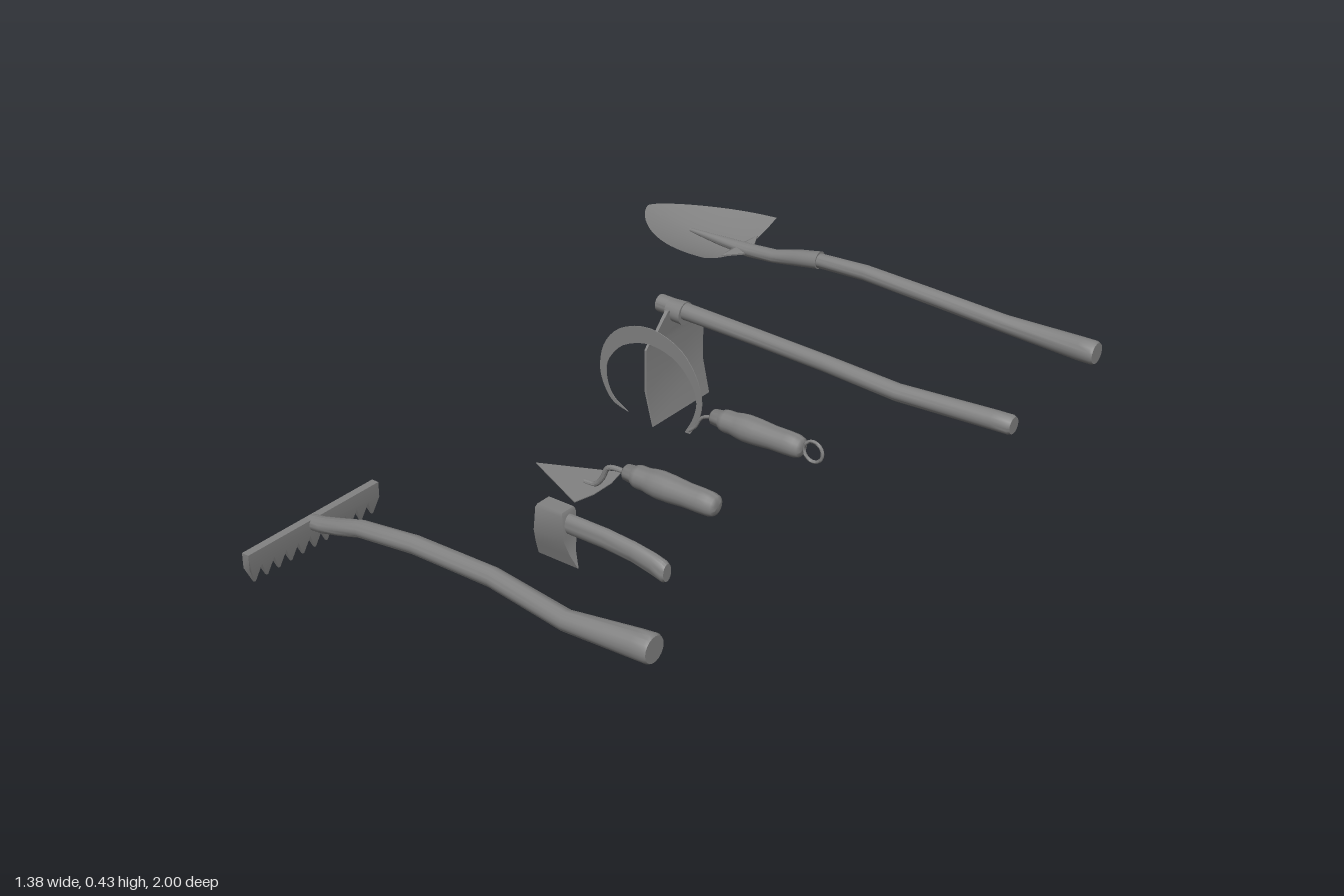
import * as THREE from 'three';
import { toCreasedNormals } from 'three/addons/utils/BufferGeometryUtils.js';

const material = new THREE.MeshStandardMaterial({ color: 0x828282, side: THREE.DoubleSide });

function add(group, name, geometry, crease = 0.6) {
  const mesh = new THREE.Mesh(toCreasedNormals(geometry, crease), material);
  mesh.name = name;
  group.add(mesh);
}

function tool(parent, name, z) {
  const group = new THREE.Group();
  group.name = name;
  group.position.z = z;
  parent.add(group);
  return group;
}

// Moves every vertex by a rule
function shapeBy(geometry, rule) {
  const p = geometry.attributes.position;
  const v = new THREE.Vector3();
  for (let i = 0; i < p.count; i++) {
    rule(v.fromBufferAttribute(p, i));
    p.setXYZ(i, v.x, v.y, v.z);
  }
  geometry.computeVertexNormals();
  return geometry;
}

// Round bar running along x through stations [x, y, z, radius]
function rod(stations, oval = 1) {
  const n = stations.length - 1;
  const g = new THREE.CylinderGeometry(1, 1, 1, 18, n).rotateZ(-Math.PI / 2);
  return shapeBy(g, (v) => {
    const [x, y, z, r] = stations[Math.round((v.x + 0.5) * n)];
    v.set(x, y + v.y * r * oval, z + v.z * r);
  });
}

// Box-section body rising through levels [y, xMin, xMax, halfDepth]
function levels(rows) {
  const n = rows.length - 1;
  return shapeBy(new THREE.BoxGeometry(1, 1, 2, 1, n, 1), (v) => {
    const [y, x0, x1, h] = rows[Math.round((v.y + 0.5) * n)];
    v.set(v.x < 0 ? x0 : x1, y, v.z * h);
  });
}

function tube(points, radius) {
  const curve = new THREE.CatmullRomCurve3(points.map(([x, y]) => new THREE.Vector3(x, y, 0)));
  return new THREE.TubeGeometry(curve, 20, radius, 10);
}

const vectors = (points) => points.map(([x, y]) => new THREE.Vector2(x, y));

function plate(points, depth) {
  return new THREE.ExtrudeGeometry(new THREE.Shape(points), { depth, bevelEnabled: false })
    .translate(0, 0, -depth / 2);
}

// Turned grip shared by the hand tools
function addGrip(group) {
  add(group, 'grip', rod([
    [0.135, 0.265, 0, 0.013], [0.14, 0.265, 0, 0.018], [0.16, 0.265, 0, 0.02],
    [0.166, 0.265, 0, 0.024], [0.175, 0.265, 0, 0.026], [0.195, 0.265, 0, 0.026],
    [0.21, 0.265, 0, 0.029], [0.23, 0.265, 0, 0.031], [0.26, 0.265, 0, 0.03],
    [0.3, 0.265, 0, 0.027], [0.335, 0.265, 0, 0.027], [0.36, 0.265, 0, 0.026],
    [0.372, 0.265, 0, 0.022], [0.377, 0.265, 0, 0.013]]), 0.9);
}

function addShovel(parent) {
  const g = tool(parent, 'shovel', -0.838);
  // Dished blade with a rounded point
  const blade = shapeBy(new THREE.PlaneGeometry(2, 1, 16, 20), (v) => {
    const s = Math.sin((v.y + 0.5) * Math.PI / 2);
    const z = -v.x * 0.163 * Math.pow(Math.max(0, 1 - Math.pow(s, 2.2)), 0.7);
    const lift = Math.pow(Math.abs(z) / 0.163, 1.8) * 0.038;
    v.set(-0.387 - 0.303 * s, 0.226 + 0.052 * s * s + lift * (1 - 0.4 * s), z);
  });
  add(g, 'blade', blade, 1);
  // Flared web between blade and socket
  const web = plate(vectors(
    [[-0.39, -0.08], [-0.36, -0.015], [-0.36, 0.015], [-0.39, 0.08], [-0.41, 0]]), 0.004);
  add(g, 'bladeWeb', shapeBy(web.rotateX(Math.PI / 2), (v) => { v.y += 0.228 + Math.abs(v.z) * 0.14; }));
  add(g, 'socket', rod([
    [-0.55, 0.243, 0, 0.005], [-0.45, 0.238, 0, 0.013], [-0.36, 0.235, 0, 0.018],
    [-0.28, 0.24, 0, 0.018], [-0.21, 0.255, 0.001, 0.022], [-0.14, 0.267, 0.002, 0.023]]));
  add(g, 'handle', rod([
    [-0.16, 0.265, 0.002, 0.019], [0, 0.271, 0.004, 0.02], [0.2, 0.266, 0.016, 0.021],
    [0.4, 0.25, 0.01, 0.022], [0.61, 0.251, 0.022, 0.029], [0.645, 0.252, 0.024, 0.029],
    [0.652, 0.252, 0.024, 0.026]]));
}

function addHoe(parent) {
  const g = tool(parent, 'hoe', -0.383);
  add(g, 'handle', rod([
    [-0.305, 0.27, -0.004, 0.022], [-0.2, 0.27, 0, 0.021], [0, 0.272, 0.015, 0.02],
    [0.2, 0.272, 0.03, 0.02], [0.4, 0.265, 0.04, 0.021], [0.64, 0.268, 0.027, 0.023],
    [0.68, 0.268, 0.025, 0.023], [0.687, 0.268, 0.025, 0.02]]));
  add(g, 'eye', rod([[-0.27, 0.265, 0, 0.027], [-0.225, 0.265, 0, 0.029]]));
  // Broad blade, bent toward its cutting edge
  add(g, 'blade', levels([
    [0, -0.239, -0.236, 0.115], [0.09, -0.262, -0.256, 0.115],
    [0.2, -0.262, -0.256, 0.115], [0.212, -0.262, -0.256, 0.104],
    [0.222, -0.262, -0.255, 0.085], [0.275, -0.262, -0.252, 0.034]]));
}

function addSickle(parent) {
  const g = tool(parent, 'sickle', 0);
  addGrip(g);
  // Crescent blade
  const outer = [[-0.1, 0.2], [-0.145, 0.215], [-0.172, 0.255], [-0.18, 0.3], [-0.165, 0.357],
    [-0.12, 0.405], [-0.04, 0.428], [0.04, 0.405], [0.088, 0.352], [0.107, 0.29], [0.098, 0.24], [0.075, 0.2]];
  const inner = [[0.06, 0.2], [0.082, 0.24], [0.092, 0.285], [0.075, 0.33], [0.03, 0.372],
    [-0.04, 0.388], [-0.11, 0.366], [-0.15, 0.325], [-0.162, 0.29], [-0.156, 0.25], [-0.137, 0.222], [-0.105, 0.203]];
  const smooth = (pts) => new THREE.SplineCurve(vectors(pts)).getPoints(40);
  add(g, 'blade', plate([...smooth(outer), ...smooth(inner)], 0.002));
  add(g, 'tang', tube([[0.072, 0.208], [0.088, 0.222], [0.108, 0.252], [0.15, 0.265]], 0.004));
  add(g, 'hangingRing', new THREE.TorusGeometry(0.024, 0.004, 8, 24).translate(0.402, 0.265, 0), 1);
}

function addTrowel(parent) {
  const g = tool(parent, 'trowel', 0.31);
  addGrip(g);
  const blade = plate(vectors([[-0.112, 0], [0.062, -0.08], [0.074, -0.03], [0.074, 0.03], [0.062, 0.08]]), 0.002);
  add(g, 'blade', blade.rotateX(Math.PI / 2).translate(0, 0.201, 0));
  add(g, 'shank', tube([[0.025, 0.203], [0.055, 0.207], [0.075, 0.23], [0.09, 0.258], [0.15, 0.265]], 0.006));
}

function addHatchet(parent) {
  const g = tool(parent, 'hatchet', 0.58);
  add(g, 'handle', rod([
    [0.132, 0.292, 0, 0.014], [0.22, 0.292, 0, 0.015], [0.3, 0.292, 0, 0.015],
    [0.37, 0.287, 0, 0.015], [0.42, 0.278, 0, 0.016], [0.445, 0.271, 0, 0.016],
    [0.452, 0.27, 0, 0.013]], 1.5));
  // Wedge head with a flared edge
  add(g, 'head', levels([
    [0.195, 0.125, 0.228, 0.001], [0.225, 0.126, 0.215, 0.01],
    [0.26, 0.13, 0.208, 0.02], [0.316, 0.137, 0.207, 0.021], [0.323, 0.14, 0.204, 0.018]]));
}

function addRake(parent) {
  const g = tool(parent, 'rake', 0.815);
  add(g, 'handle', rod([
    [-0.285, 0.23, 0, 0.017], [-0.25, 0.235, 0, 0.018], [-0.2, 0.248, 0, 0.019],
    [-0.14, 0.265, -0.001, 0.019], [0, 0.275, -0.01, 0.02], [0.2, 0.275, -0.013, 0.021],
    [0.4, 0.267, 0.008, 0.022], [0.56, 0.274, -0.004, 0.03], [0.59, 0.275, -0.006, 0.031],
    [0.597, 0.275, -0.006, 0.028]]));
  // Bar with pointed teeth
  const teeth = 11;
  const step = 0.37 / teeth;
  const outline = [[0.185, 0.243], [-0.185, 0.243]];
  for (let i = 0; i < teeth; i++) {
    const a = -0.185 + i * step;
    outline.push([a, 0.208], [a + step * 0.44, 0.172], [a + step * 0.56, 0.172]);
  }
  outline.push([0.185, 0.208]);
  const head = plate(vectors(outline), 0.018).rotateY(-Math.PI / 2);
  add(g, 'head', shapeBy(head, (v) => { v.x = v.x * (v.y < 0.19 ? 0.25 : 1) - 0.282; }));
}

export function createModel() {
  const model = new THREE.Group();
  model.name = 'gardenTools';
  [addShovel, addHoe, addSickle, addTrowel, addHatchet, addRake].forEach((build) => build(model));
  return model;
}
